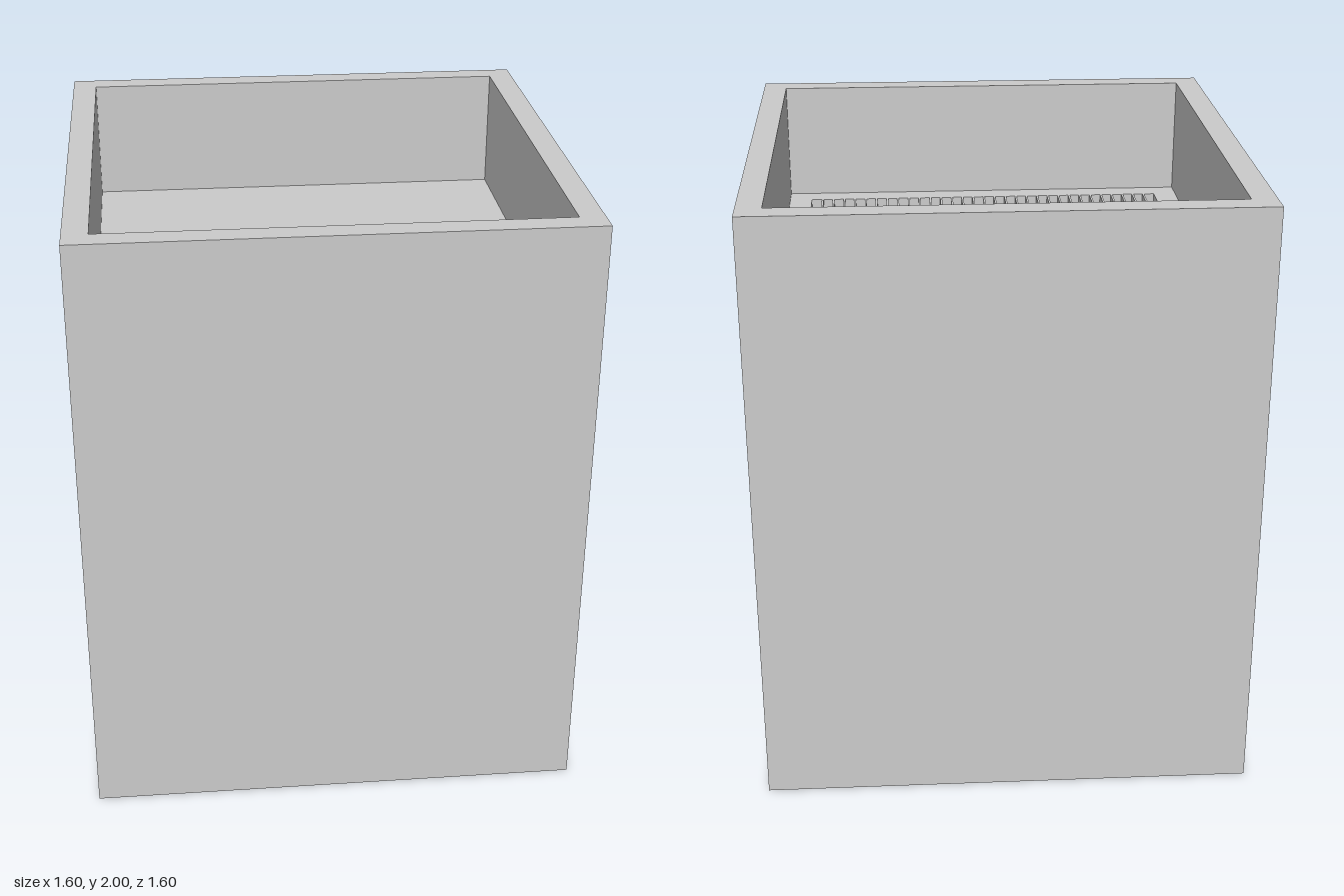
import * as THREE from 'three';

const material = new THREE.MeshStandardMaterial({ color: 0xcccccc });

function add(parent, name, geometry, x = 0, y = 0, z = 0) {
  const mesh = new THREE.Mesh(geometry, material);
  mesh.name = name;
  mesh.position.set(x, y, z);
  parent.add(mesh);
  return mesh;
}

// Horizontal slab with a rectangular opening, extruded upwards from y = 0.
// The opening is given as half width and z range.
function slab(half, height, holeX, zMin, zMax) {
  const rect = (path, x, z0, z1) => path.moveTo(-x, -z1).lineTo(x, -z1).lineTo(x, -z0).lineTo(-x, -z0).closePath();
  const shape = rect(new THREE.Shape(), half, -half, half);
  shape.holes.push(rect(new THREE.Path(), holeX, zMin, zMax));
  return new THREE.ExtrudeGeometry(shape, { depth: height, bevelEnabled: false }).rotateX(-Math.PI / 2);
}

export function createModel() {
  const model = new THREE.Group();
  model.name = 'ventedPlanter';

  // Hollow body, its floor and the raised rim
  add(model, 'bodyWalls', slab(0.8, 1.56, 0.64, -0.64, 0.64));
  add(model, 'bottomPlate', new THREE.BoxGeometry(1.28, 0.02, 1.28), 0, 0.01, 0);
  add(model, 'trayPlate', slab(0.8, 0.04, 0.64, 0, 0.64), 0, 1.56, 0);
  add(model, 'rim', slab(0.8, 0.4, 0.72, -0.72, 0.72), 0, 1.6, 0);

  // Grille of thin upright bars with one cross bar
  const grille = new THREE.Group();
  grille.name = 'grille';
  model.add(grille);
  const bar = new THREE.BoxGeometry(0.007, 0.04, 0.64);
  for (let i = 1; i < 32; i++) add(grille, 'grilleBar', bar, -0.64 + i * 0.04, 1.58, 0.32);
  add(grille, 'crossBar', new THREE.BoxGeometry(1.28, 0.04, 0.007), 0, 1.58, 0.33);

  // Parts inside the body, seen through the grille
  const canister = add(model, 'canister', new THREE.CylinderGeometry(0.125, 0.125, 0.5, 40), -0.475, 0.28, 0.175);
  canister.rotation.z = -0.06;
  add(model, 'innerBlock', new THREE.BoxGeometry(0.19, 0.4, 0.42), 0.545, 0.22, 0);

  return model;
}
